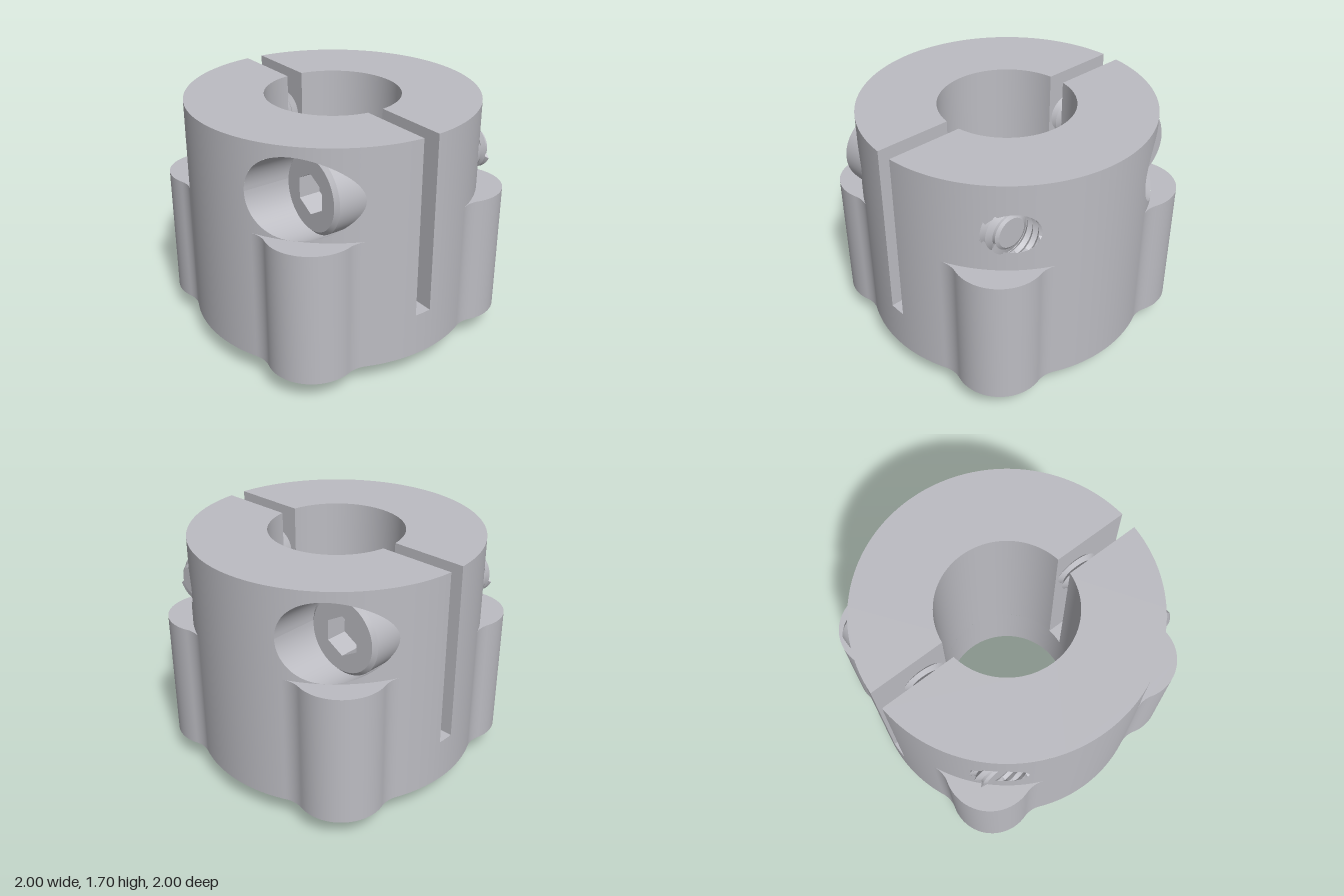
import * as THREE from 'three';
import { toCreasedNormals } from 'three/addons/utils/BufferGeometryUtils.js';

const { PI, cos, sin, acos, asin, sqrt, abs, min, max, atan2 } = Math;
const steel = new THREE.MeshStandardMaterial({ color: 0xbcbcc2 });
steel.name = 'brushed steel';

// Main sizes
const R = 1, BORE = 0.465, SPIGOT = 0.54, SLOT = 0.06;
const BASE = 0.155, FLOOR = 0.46, LOBE_TOP = 1.08, TOP = 1.7;
const LOBE_R = 0.3, LOBE_D = 0.877, FILLET = 0.2;
const SCREW_Y = 1.355, SCREW_Z = 0.635, POCKET_R = 0.275, POCKET_X = 0.33, TIP_R = 0.14, PITCH = 0.05;
const A_OUT = acos(SLOT / R), A_IN = acos(SLOT / BORE);
const LOBE_A = acos(((R + FILLET) ** 2 + LOBE_D ** 2 - (LOBE_R + FILLET) ** 2) / (2 * (R + FILLET) * LOBE_D));

const add = (group, name, geometry, x = 0, y = 0, z = 0) => {
  const mesh = new THREE.Mesh(geometry, steel);
  mesh.name = name;
  mesh.position.set(x, y, z);
  group.add(mesh);
  return mesh;
};

// Points [x, z] along an arc
function arc(r, a0, a1, n = 64, cx = 0, cz = 0) {
  return Array.from({ length: n + 1 }, (_, i) => {
    const a = a0 + (a1 - a0) * i / n;
    return [cx + r * cos(a), cz + r * sin(a)];
  });
}

// Surface through rows of [x, y, z] points; flip turns it inward
function loft(rows, flip = false) {
  const n = rows[0].length, index = [];
  for (let r = 0; r < rows.length - 1; r++) for (let i = 0; i < n - 1; i++) {
    const a = r * n + i, b = a + n;
    if (flip) index.push(a, b + 1, b, a, a + 1, b + 1);
    else index.push(a, b, b + 1, a, b + 1, a + 1);
  }
  const g = new THREE.BufferGeometry();
  g.setAttribute('position', new THREE.Float32BufferAttribute(rows.flat(2), 3));
  g.setIndex(index);
  g.computeVertexNormals();
  return g;
}
const ribbon = (pts, y0, y1, flip) => loft([y0, y1].map(y => pts.map(([x, z]) => [x, y, z])), flip);

// Horizontal face from [x, z] outlines
function flat(pts, y, up, holes = []) {
  const s = up ? -1 : 1;
  const vec = list => list.map(([x, z]) => new THREE.Vector2(x, s * z));
  const shape = new THREE.Shape(vec(pts));
  holes.forEach(h => shape.holes.push(new THREE.Path(vec(h))));
  return new THREE.ShapeGeometry(shape).rotateX(s * PI / 2).translate(0, y, 0);
}

// Helical thread along y, trimmed between lo and top(angle)
function thread(lo, top, root, crest, flip) {
  const rows = [], hiMax = top(null);
  for (let k = Math.floor(lo / PITCH) * 2 - 3; k * PITCH / 2 <= hiMax + PITCH; k++) {
    rows.push(Array.from({ length: 49 }, (_, i) => {
      const a = i / 48 * 2 * PI, raw = k * PITCH / 2 + PITCH * i / 48;
      const h = min(max(raw, lo), top(a));
      const r = h === raw && k % 2 ? crest : root;
      return [r * cos(a), h, r * sin(a)];
    }));
  }
  return toCreasedNormals(loft(rows, flip), 0.5);
}

const lathe = pts => toCreasedNormals(new THREE.LatheGeometry(pts.map(p => new THREE.Vector2(...p)), 64), 0.4);

// Lobe outline with concave fillets, around a given direction
function lobePath(dir) {
  const cx = (R + FILLET) * cos(LOBE_A), cz = (R + FILLET) * sin(LOBE_A);
  const t = atan2(cz, LOBE_D - cx);
  const pts = [
    ...arc(FILLET, PI - LOBE_A, t, 12, cx, -cz),
    ...arc(LOBE_R, t - PI, PI - t, 40, LOBE_D, 0).slice(1),
    ...arc(FILLET, -t, LOBE_A - PI, 12, cx, cz).slice(1),
  ];
  return pts.map(([u, v]) => [u * cos(dir) - v * sin(dir), u * sin(dir) + v * cos(dir)]);
}

// Outer wall of one half, with the two round screw openings left out
function outerWall() {
  const holes = [[-SCREW_Z, POCKET_R], [SCREW_Z, TIP_R]];
  const angles = arc(1, 0, 1, 160).map((_, i) => -A_OUT + 2 * A_OUT * i / 160);
  for (const s of [-1, 1]) for (const e of [-1, 1]) angles.push(s * PI / 4 + e * LOBE_A);
  holes.forEach(([z, r]) => {
    for (let i = 0; i <= 32; i++) angles.push(asin(z + r * cos(i / 32 * PI)));
  });
  angles.sort((a, b) => a - b);
  const pos = [], nor = [];
  const quad = (a, b, a0, a1, b0, b1) => {
    for (const [t, y] of [[a, a0], [a, a1], [b, b1], [a, a0], [b, b1], [b, b0]]) {
      pos.push(R * cos(t), y, R * sin(t));
      nor.push(cos(t), 0, sin(t));
    }
  };
  for (let i = 0; i < angles.length - 1; i++) {
    const a = angles[i], b = angles[i + 1], m = (a + b) / 2;
    if (b - a < 1e-7) continue;
    const y0 = abs(abs(m) - PI / 4) < LOBE_A ? LOBE_TOP : BASE;
    const hole = holes.find(([z, r]) => abs(sin(m) - z) < r);
    if (!hole) { quad(a, b, y0, TOP, y0, TOP); continue; }
    const h = t => sqrt(max(0, hole[1] ** 2 - (sin(t) - hole[0]) ** 2));
    quad(a, b, y0, SCREW_Y - h(a), y0, SCREW_Y - h(b));
    quad(a, b, SCREW_Y + h(a), TOP, SCREW_Y + h(b), TOP);
  }
  const g = new THREE.BufferGeometry();
  g.setAttribute('position', new THREE.Float32BufferAttribute(pos, 3));
  g.setAttribute('normal', new THREE.Float32BufferAttribute(nor, 3));
  return g;
}

// Socket head screw along x, head towards +x
function makeScrew() {
  const screw = new THREE.Group();
  screw.name = 'clampScrew';
  const turn = g => g.rotateZ(-PI / 2);
  add(screw, 'screwThread', turn(thread(-0.735, () => POCKET_X, 0.12, 0.155)));
  add(screw, 'screwTip', turn(lathe([[0, -0.75], [0.1, -0.75], [0.12, -0.735]])));
  add(screw, 'screwHead', turn(lathe([[0.1, POCKET_X], [0.265, POCKET_X], [0.265, 0.605], [0.24, 0.63]])));
  const hex = arc(0.135, 0, 2 * PI, 6);
  add(screw, 'headFace', turn(flat(arc(0.24, 0, 2 * PI), 0.63, true, [hex])));
  add(screw, 'hexSocket', turn(toCreasedNormals(ribbon(hex, 0.48, 0.63, true), 0.3)));
  add(screw, 'socketFloor', turn(flat(hex, 0.48, true)));
  screw.position.set(0, SCREW_Y, -SCREW_Z);
  return screw;
}

// One clamp jaw (+x side) with its screw
function makeJaw() {
  const jaw = new THREE.Group();
  jaw.name = 'clampJaw';
  add(jaw, 'outerWall', outerWall());
  add(jaw, 'boreWall', ribbon(arc(BORE, -A_IN, A_IN), FLOOR, TOP, true));
  add(jaw, 'topFace', flat([...arc(R, -A_OUT, A_OUT, 160), ...arc(BORE, A_IN, -A_IN)], TOP, true));
  const zi = BORE * sin(A_IN), zo = R * sin(A_OUT);
  for (const s of [-1, 1]) {
    add(jaw, 'slotWall', new THREE.PlaneGeometry(zo - zi, TOP - FLOOR).rotateY(-PI / 2),
      SLOT, (TOP + FLOOR) / 2, s * (zi + zo) / 2);
  }
  // Counterbore for the screw head
  const circle = arc(POCKET_R, 0, 2 * PI, 64, -SCREW_Z, SCREW_Y);
  add(jaw, 'pocketWall', loft([
    circle.map(([z, y]) => [POCKET_X, y, z]),
    circle.map(([z, y]) => [sqrt(R * R - z * z), y, z]),
  ], true));
  add(jaw, 'pocketFloor', new THREE.RingGeometry(0.1, POCKET_R, 48).rotateY(PI / 2), POCKET_X, SCREW_Y, -SCREW_Z);
  // Tapped hole for the opposite screw tip
  const surface = a => a === null ? 0.88 : sqrt(R * R - (SCREW_Z + TIP_R * sin(a)) ** 2);
  add(jaw, 'tappedHole', thread(0.4, surface, TIP_R, 0.16, true).rotateZ(-PI / 2), 0, SCREW_Y, SCREW_Z);
  jaw.add(makeScrew());
  return jaw;
}

export function createModel() {
  const model = new THREE.Group();
  model.name = 'clampingHub';

  // Two jaws, half a turn apart
  for (const turn of [0, PI]) {
    const jaw = makeJaw();
    jaw.rotation.y = turn;
    model.add(jaw);
  }

  // Slot floors and the wall below each slot
  for (const s of [0, PI]) {
    const outer = arc(R, A_OUT + s, PI - A_OUT + s, 8);
    add(model, 'slotFloor', flat([...outer, ...arc(BORE, PI - A_IN + s, A_IN + s, 8)], FLOOR, true));
    add(model, 'wallBelowSlot', ribbon(outer, BASE, FLOOR));
  }

  // Four lobes with threaded mounting holes underneath
  const outline = [], holes = [arc(SPIGOT, 0, 2 * PI)];
  for (let k = 0; k < 4; k++) {
    const dir = PI / 4 + k * PI / 2, path = lobePath(dir);
    const x = LOBE_D * cos(dir), z = LOBE_D * sin(dir);
    add(model, 'lobeWall', ribbon(path, BASE, LOBE_TOP));
    add(model, 'lobeTop', flat([...path, ...arc(R, dir + LOBE_A, dir - LOBE_A, 40).slice(1, -1)], LOBE_TOP, true));
    outline.push(...path, ...arc(R, dir + LOBE_A, dir + PI / 2 - LOBE_A, 40).slice(1, -1));
    holes.push(arc(0.155, 0, 2 * PI, 64, x, z));
    add(model, 'holeChamfer', lathe([[0.125, 0.185], [0.155, BASE]]), x, 0, z);
    add(model, 'mountingHole', thread(0.185, () => 0.8, 0.125, 0.15, true), x, 0, z);
    add(model, 'holeEnd', new THREE.CircleGeometry(0.13, 32).rotateX(PI / 2), x, 0.8, z);
  }
  add(model, 'bottomFace', flat(outline, BASE, false, holes));

  // Locating spigot and lower bore
  add(model, 'spigot', lathe([[BORE, 0], [SPIGOT, 0], [SPIGOT, BASE]]));
  add(model, 'lowerBore', ribbon(arc(BORE, 0, 2 * PI, 96), 0, FLOOR, true));
  return model;
}
